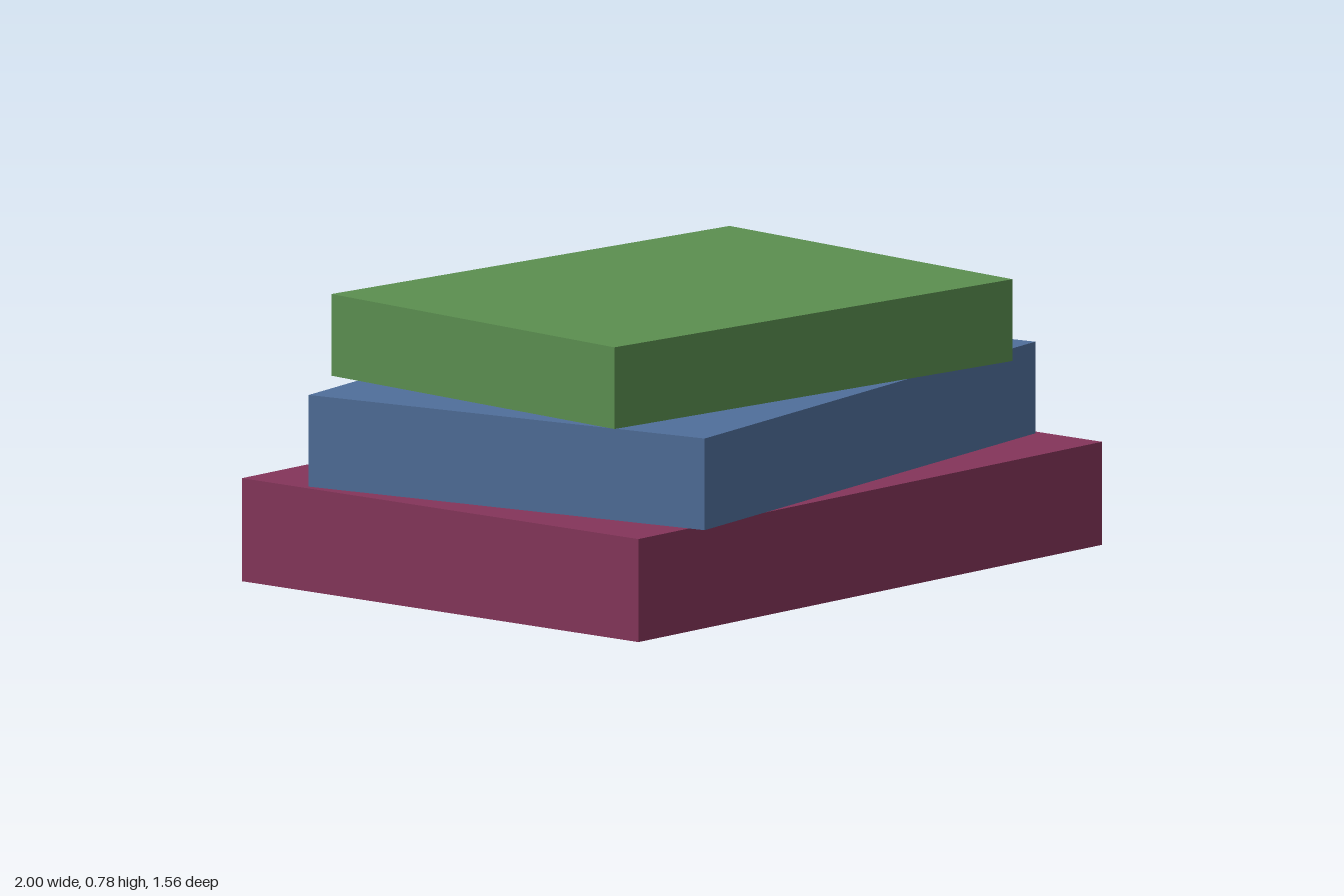
import * as THREE from 'three';

const material = (name, color) =>
  Object.assign(new THREE.MeshStandardMaterial({ color, side: THREE.DoubleSide }), { name });

// Box given by its limits; an open box leaves out the underside
function block(name, mat, [x0, x1], [y0, y1], [z0, z1], open) {
  const geo = new THREE.BoxGeometry(x1 - x0, y1 - y0, z1 - z0);
  if (open) {
    const index = Array.from(geo.index.array);
    index.splice(18, 6);
    geo.setIndex(index);
    geo.clearGroups();
  }
  geo.translate((x0 + x1) / 2, (y0 + y1) / 2, (z0 + z1) / 2);
  const mesh = new THREE.Mesh(geo, mat);
  mesh.name = name;
  return mesh;
}

export function createModel() {
  const model = new THREE.Group();
  model.name = 'bookStack';
  const paper = material('cream paper', 0xcbc592);

  // Each book: cover size, resting height, turn about y
  const books = [
    { name: 'bottomBook', mat: material('plum cover', 0x84355a), w: 1.975, h: 0.29, d: 1.445, y: 0, turn: 0, open: true },
    { name: 'middleBook', mat: material('blue cover', 0x506f9b), w: 1.752, h: 0.258, d: 1.286, y: 0.29, turn: 0.158 },
    { name: 'topBook', mat: material('green cover', 0x5b8f50), w: 1.523, h: 0.23, d: 1.136, y: 0.548, turn: -0.102 },
  ];

  for (const { name, mat, w, h, d, y, turn, open } of books) {
    const s = h / 0.29;
    const book = new THREE.Group();
    book.name = name;
    book.add(block('cover', mat, [-w / 2, w / 2], [0, h], [-d / 2, d / 2], open));
    // Pages stand slightly proud of the cover on the left and back sides
    book.add(block('pages', paper,
      [-w / 2 + 0.07 * s, w / 2 + 0.023 * s],
      [0.048 * s, 0.246 * s],
      [-d / 2 - 0.014 * s, d / 2 - 0.073 * s], open));
    book.position.set(-0.012, y, 0.007);
    book.rotation.y = turn;
    model.add(book);
  }
  return model;
}
